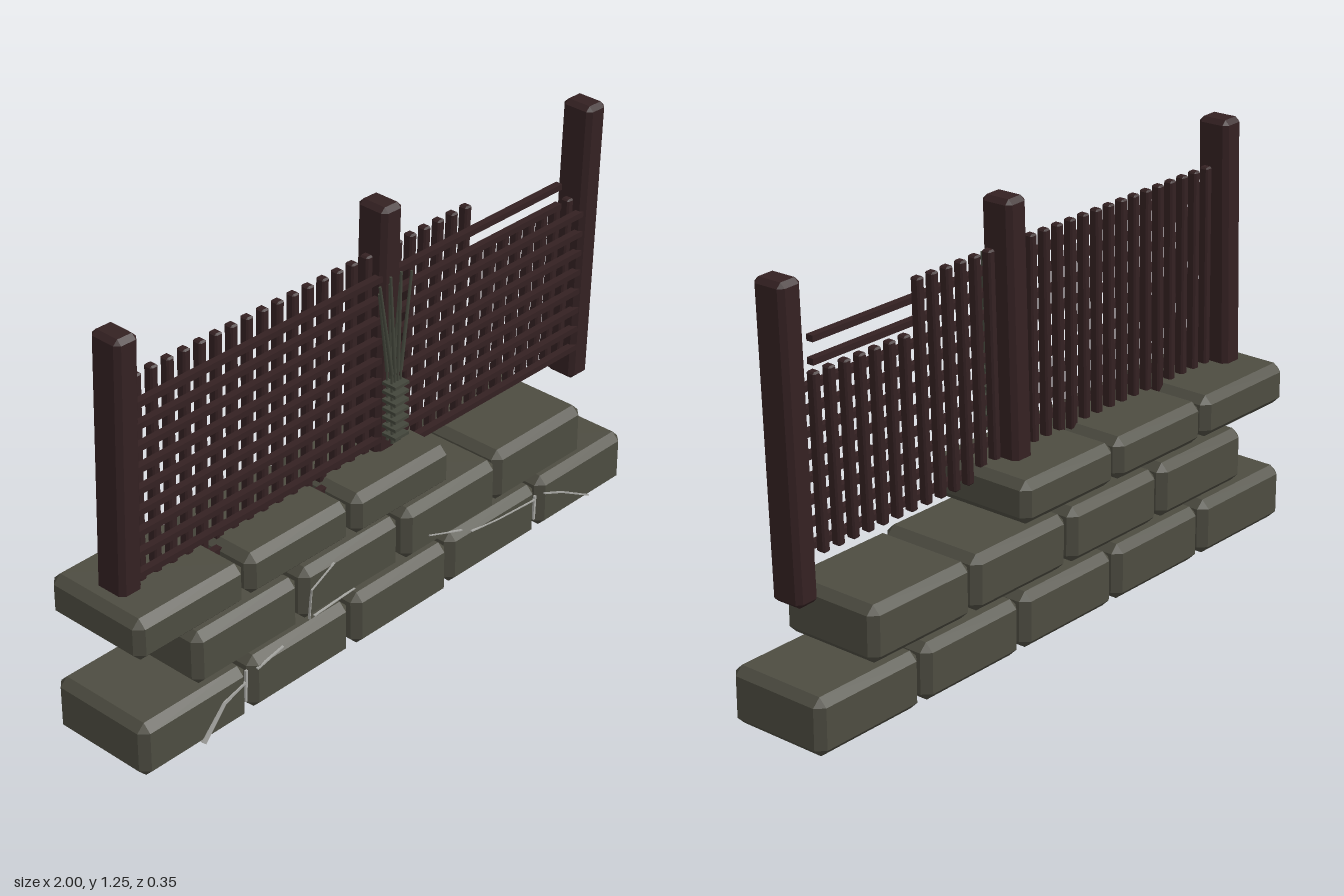
import * as THREE from 'three';
import { ConvexGeometry } from 'three/addons/geometries/ConvexGeometry.js';

const mat = (name, color) => new THREE.MeshStandardMaterial({ name, color });

// Box with every edge and corner cut off
function chamferBox(w, h, d, c) {
  const pts = [];
  for (const sx of [-1, 1]) for (const sy of [-1, 1]) for (const sz of [-1, 1]) {
    for (let k = 0; k < 3; k++) {
      const inset = [c, c, c];
      inset[k] = 0;
      pts.push(new THREE.Vector3(
        sx * (w / 2 - inset[0]), sy * (h / 2 - inset[1]), sz * (d / 2 - inset[2])));
    }
  }
  return new ConvexGeometry(pts);
}

// Flat tapered strip along points of [x, y, width]
function strip(points, depth) {
  const left = [], right = [];
  points.forEach(([x, y, w], i) => {
    const a = points[Math.max(i - 1, 0)], b = points[Math.min(i + 1, points.length - 1)];
    const dir = new THREE.Vector2(b[0] - a[0], b[1] - a[1]).normalize();
    left.push(new THREE.Vector2(x - dir.y * w / 2, y + dir.x * w / 2));
    right.unshift(new THREE.Vector2(x + dir.y * w / 2, y - dir.x * w / 2));
  });
  return new THREE.ExtrudeGeometry(new THREE.Shape([...left, ...right]),
    { depth, bevelEnabled: false });
}

export function createModel() {
  const model = new THREE.Group();
  const stone = mat('stone', 0x4d4c41);
  const wood = mat('dark wood', 0x342122);
  const crackGrey = mat('crack grey', 0xa6a6a2);
  const twig = mat('twig grey green', 0x43463b);

  const add = (parent, name, geometry, material, x, y, z) => {
    const mesh = new THREE.Mesh(geometry, material);
    mesh.name = name;
    mesh.position.set(x, y, z);
    parent.add(mesh);
    return mesh;
  };
  const group = (name) => {
    const g = new THREE.Group();
    g.name = name;
    model.add(g);
    return g;
  };

  // Stone courses: y range, block centres and front faces
  const wall = group('stoneWall');
  const courses = [
    { y0: 0.005, y1: 0.17, xs: [-0.806, -0.403, 0, 0.403, 0.806], front: [0.17, 0.165, 0.168, 0.155, 0.152] },
    { y0: 0.188, y1: 0.354, xs: [-0.605, -0.202, 0.202, 0.602], front: [0.168, 0.165, 0.17, 0.155] },
    { y0: 0.372, y1: 0.5, xs: [-0.806, -0.403, -0.003], front: [0.17, 0.165, 0.172] },
  ];
  courses.forEach(({ y0, y1, xs, front }, r) => xs.forEach((x, i) => {
    const back = -0.174;
    const low = r === 0 ? 0 : y0;
    add(wall, 'stoneBlock', chamferBox(0.388, y1 - low, front[i] - back, 0.024), stone,
      x, (low + y1) / 2, (front[i] + back) / 2);
  }));

  // Cracks across the front of the blocks
  const cracks = group('cracks');
  const crackLines = [
    [0.167, [[-0.79, 0.012, 0.018], [-0.71, 0.1, 0.012], [-0.63, 0.125, 0.005]]],
    [0.162, [[-0.58, 0.14, 0.005], [-0.48, 0.162, 0.003]]],
    [0.145, [[-0.61, 0.04, 0.008], [-0.605, 0.14, 0.008]]],
    [0.163, [[-0.38, 0.2, 0.003], [-0.37, 0.29, 0.003], [-0.28, 0.335, 0.002]]],
    [0.162, [[-0.36, 0.2, 0.003], [-0.2, 0.21, 0.002]]],
    [0.167, [[0.1, 0.24, 0.003], [0.24, 0.19, 0.003]]],
    [0.152, [[0.3, 0.15, 0.003], [0.42, 0.135, 0.003], [0.58, 0.125, 0.004]]],
    [0.135, [[0.6, 0.04, 0.008], [0.603, 0.12, 0.008]]],
    [0.149, [[0.63, 0.123, 0.005], [0.71, 0.09, 0.005], [0.84, 0.018, 0.004]]],
  ];
  for (const [z, line] of crackLines) add(cracks, 'crack', strip(line, 0.007), crackGrey, 0, 0, z);

  // Leaning posts
  const fence = group('fence');
  for (const x of [-0.9, 0.058, 0.91]) {
    const post = add(fence, 'post', chamferBox(0.077, 0.885, 0.104, 0.014), wood, x, 0.807, 0.005);
    post.rotation.set(0.012, 0, -0.022);
  }

  // Upright slats, shorter on the broken right end
  for (let i = 0; i <= 30; i++) {
    const x = -0.842 + i * 0.0562;
    const top = x > 0.4 ? 0.965 : 1.11;
    const lean = x > 0.08 ? -0.038 : -0.022;
    const slat = add(fence, 'slat', chamferBox(0.026, top - 0.458, 0.03, 0.005), wood,
      x, (top + 0.458) / 2, 0.015);
    slat.rotation.z = lean;
  }

  // Cross rails on the front of the slats
  for (let i = 0; i < 10; i++) {
    const y = 0.475 + i * 0.0628;
    const end = i > 7 ? 0.78 : 0.885;
    add(fence, 'rail', new THREE.BoxGeometry(end + 0.88, 0.018, 0.022), wood,
      (end - 0.88) / 2, y, 0.042);
  }

  // Bundle of twigs hung on the middle post
  const bundle = group('twigBundle');
  const rod = (x0, y0, x1, y1, z, r) => {
    const m = add(bundle, 'twig', new THREE.CylinderGeometry(r * 0.7, r, Math.hypot(x1 - x0, y1 - y0), 6),
      twig, (x0 + x1) / 2, (y0 + y1) / 2, z);
    m.rotation.z = -Math.atan2(x1 - x0, y1 - y0);
  };
  for (let i = 0; i < 7; i++) {
    const t = i / 6 - 0.5;
    const z = i % 2 ? 0.073 : 0.095;
    const top = (i % 2 ? 1.03 : 1.075) - Math.abs(t) * 0.04;
    rod(0.042 + t * 0.03, 0.545, 0.042 + t * 0.036, 0.77, z, 0.005);
    rod(0.042 + t * 0.036, 0.765, 0.038 + t * 0.125, top, z, 0.006);
  }

  // Binding wraps around the handle
  for (let i = 0; i < 7; i++) {
    add(bundle, 'binding', new THREE.BoxGeometry(0.055, 0.009, 0.05), twig, 0.042, 0.57 + i * 0.027, 0.093);
  }
  return model;
}
